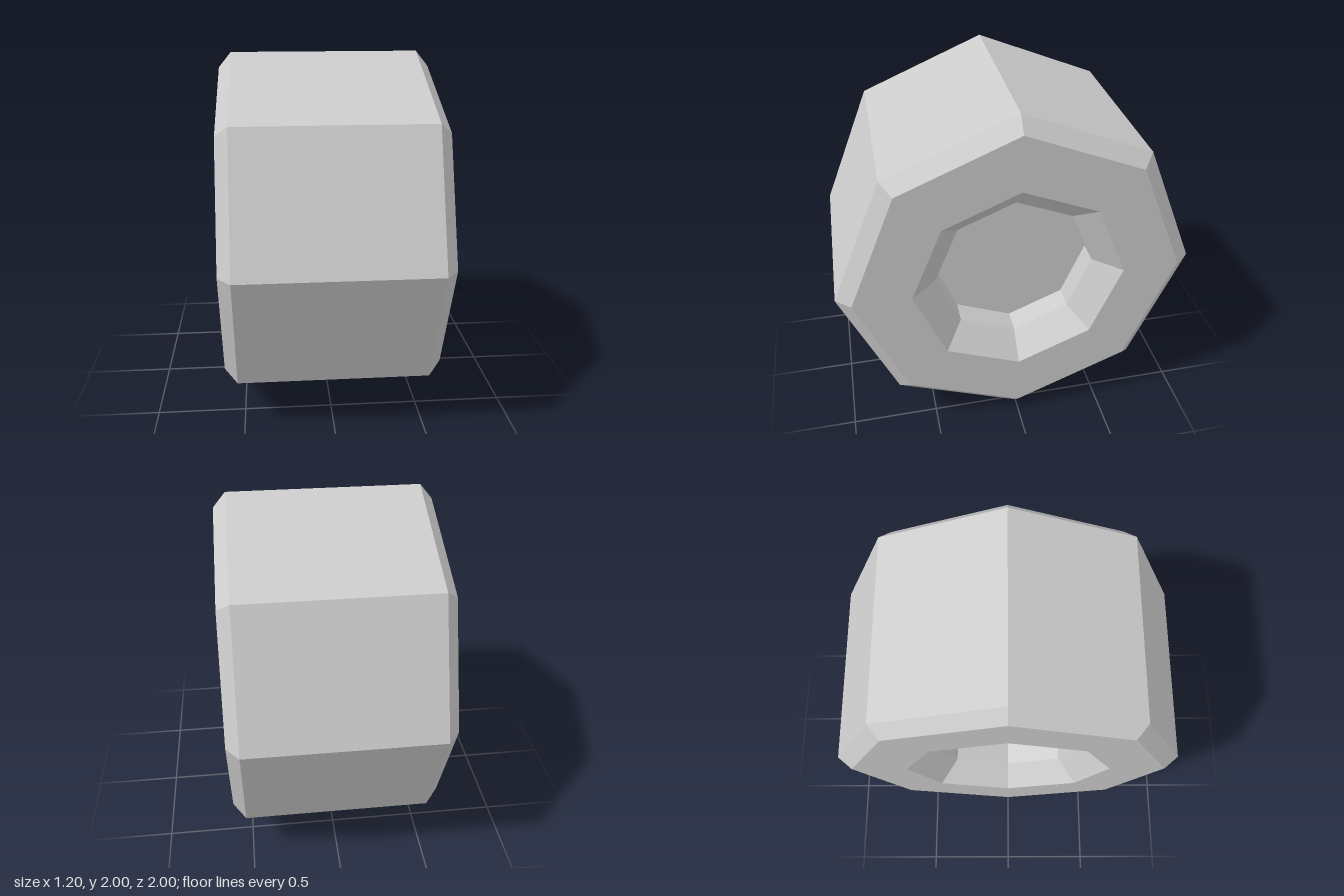
import * as THREE from 'three';

export function createModel() {
  const group = new THREE.Group();
  const material = new THREE.MeshStandardMaterial({ color: 0xcccccc, flatShading: true });

  // Half profile as [radius, distance from the middle]: tread edge, bevel,
  // side wall, sloped rim, straight recess and hub floor
  const half = [[1, 0.53], [0.915, 0.6], [0.595, 0.6], [0.45, 0.465], [0.45, 0.33], [0, 0.33]];
  const lower = half.map(([r, d]) => new THREE.Vector2(r, -d)).reverse();
  const upper = half.map(([r, d]) => new THREE.Vector2(r, d));

  // Eight-sided wheel, turned so that its axle runs along x
  const wheel = new THREE.Mesh(new THREE.LatheGeometry([...lower, ...upper], 8), material);
  wheel.name = 'wheel';
  wheel.rotation.z = -Math.PI / 2;
  wheel.position.y = 1;
  group.add(wheel);

  return group;
}
